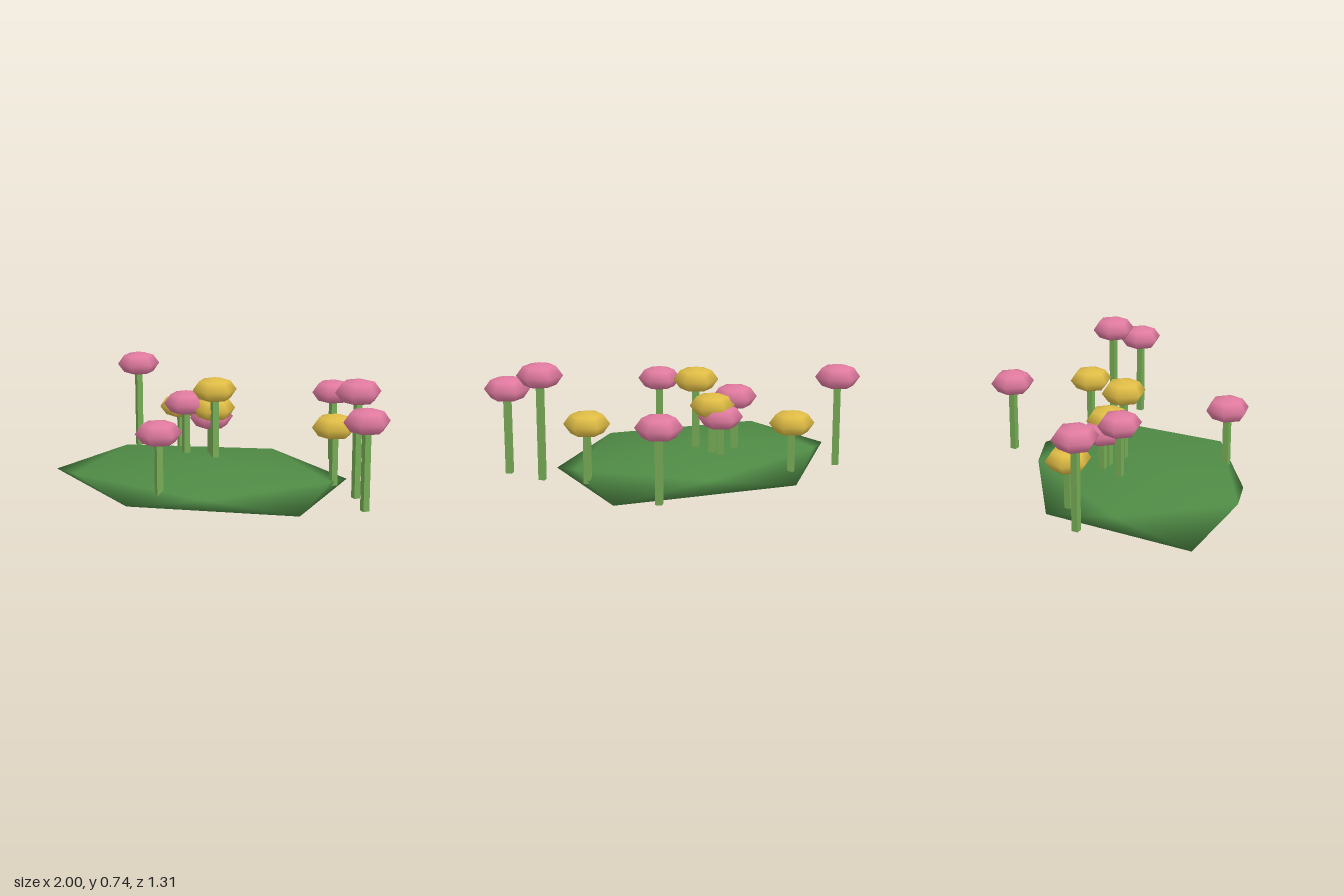
import * as THREE from 'three';

const mat = (name, color) => {
  const m = new THREE.MeshStandardMaterial({ color });
  m.name = name;
  return m;
};

// Flattened, irregular twenty-sided mound: two poles and a zigzag rim
function moundGeometry() {
  const rim = [ // x, z; alternating lower and upper corners
    [-1, 0.06], [-0.7, -0.26], [-0.38, -0.535], [0.13, -0.465], [0.615, -0.32],
    [0.63, 0.07], [0.57, 0.42], [0.13, 0.605], [-0.33, 0.575], [-0.72, 0.4],
  ];
  const n = rim.length, top = n, bottom = n + 1;
  const pos = rim.flatMap(([x, z], i) => [x, i % 2 ? 0.147 : 0.056, z]);
  pos.push(-0.11, 0.207, 0.07, -0.11, 0, 0.07);
  const index = [];
  for (let i = 0; i < n; i++) {
    const j = (i + 1) % n, k = (i + 2) % n;
    if (i % 2) index.push(i, k, j, top, k, i);
    else index.push(i, j, k, bottom, i, k);
  }
  const g = new THREE.BufferGeometry();
  g.setAttribute('position', new THREE.Float32BufferAttribute(pos, 3));
  g.setIndex(index);
  g.computeVertexNormals();
  return g;
}

export function createModel() {
  const model = new THREE.Group();
  model.name = 'flowerPatch';
  const leaf = mat('leafGreen', 0x4f8a45);
  const stemGreen = mat('stemGreen', 0x76ab55);
  const pink = mat('petalPink', 0xe07a9f);
  const yellow = mat('petalYellow', 0xdfbc45);

  const mound = new THREE.Mesh(moundGeometry(), leaf);
  mound.name = 'mound';
  model.add(mound);

  // Squashed six-sided blossom, corners pointing along z
  const blossomGeo = new THREE.SphereGeometry(0.1225, 6, 4);
  blossomGeo.rotateY(Math.PI / 2).scale(1, 0.575, 1);
  const stemBase = 0.1;

  // x, z, blossom height, colour
  const flowers = [
    [-0.705, -0.45, 0.597, pink],
    [-0.425, -0.422, 0.37, yellow],
    [0.468, -0.533, 0.5, pink],
    [-0.265, -0.105, 0.47, pink],
    [-0.135, -0.165, 0.385, pink],
    [-0.107, -0.125, 0.445, yellow],
    [-0.063, -0.027, 0.576, yellow],
    [0.615, -0.04, 0.425, yellow],
    [0.79, 0.145, 0.668, pink],
    [0.89, 0.343, 0.567, pink],
    [-0.16, 0.533, 0.457, pink],
  ];
  for (const [x, z, y, petals] of flowers) {
    const flower = new THREE.Group();
    flower.name = 'flower';
    flower.position.set(x, 0, z);
    const height = y - stemBase;
    // Square stem, turned on its corner
    const stemGeo = new THREE.CylinderGeometry(0.0245, 0.0245, height, 4).toNonIndexed();
    stemGeo.computeVertexNormals();
    const stem = new THREE.Mesh(stemGeo, stemGreen);
    stem.name = 'stem';
    stem.position.y = stemBase + height / 2;
    const blossom = new THREE.Mesh(blossomGeo, petals);
    blossom.name = 'blossom';
    blossom.position.y = y;
    flower.add(stem, blossom);
    model.add(flower);
  }
  return model;
}
